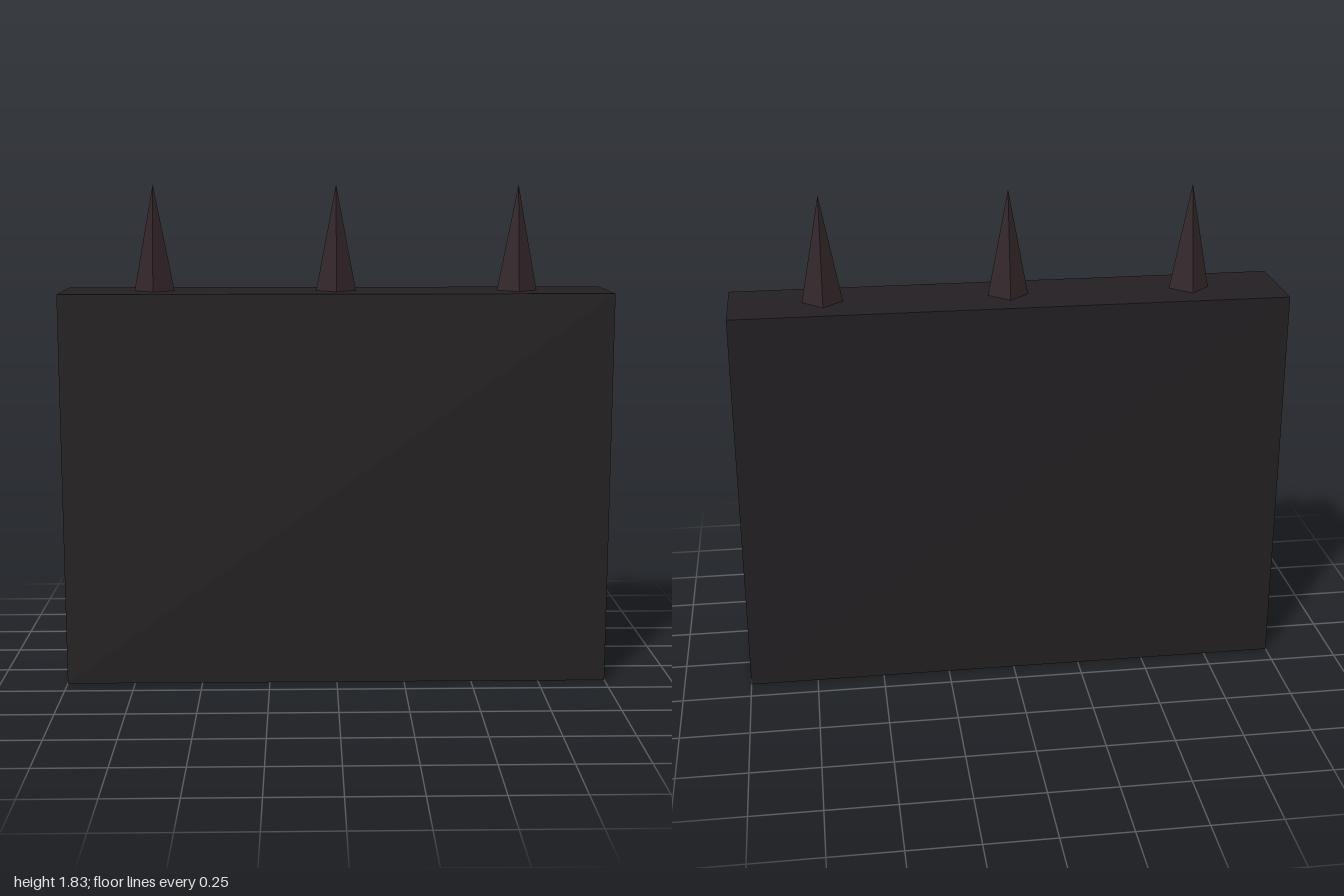
import * as THREE from 'three';

export function createModel() {
  const model = new THREE.Group();
  const slabHeight = 1.445, spikeHeight = 0.385, spikeRadius = 0.073;

  // Solid upright wall block
  const wall = new THREE.Mesh(
    new THREE.BoxGeometry(2, slabHeight, 0.333),
    new THREE.MeshStandardMaterial({ color: 0x231f22 })
  );
  wall.name = 'wall';
  wall.position.y = slabHeight / 2;
  model.add(wall);

  // Row of four-sided spikes, corners pointing along x and z
  const spikeGeometry = new THREE.ConeGeometry(spikeRadius, spikeHeight, 4);
  const spikeMaterial = new THREE.MeshStandardMaterial({ color: 0x33262a, flatShading: true });
  ['rightSpike', 'middleSpike', 'leftSpike'].forEach((name, i) => {
    const spike = new THREE.Mesh(spikeGeometry, spikeMaterial);
    spike.name = name;
    spike.position.set((i - 1) * 0.666, slabHeight + spikeHeight / 2, 0);
    model.add(spike);
  });

  return model;
}
